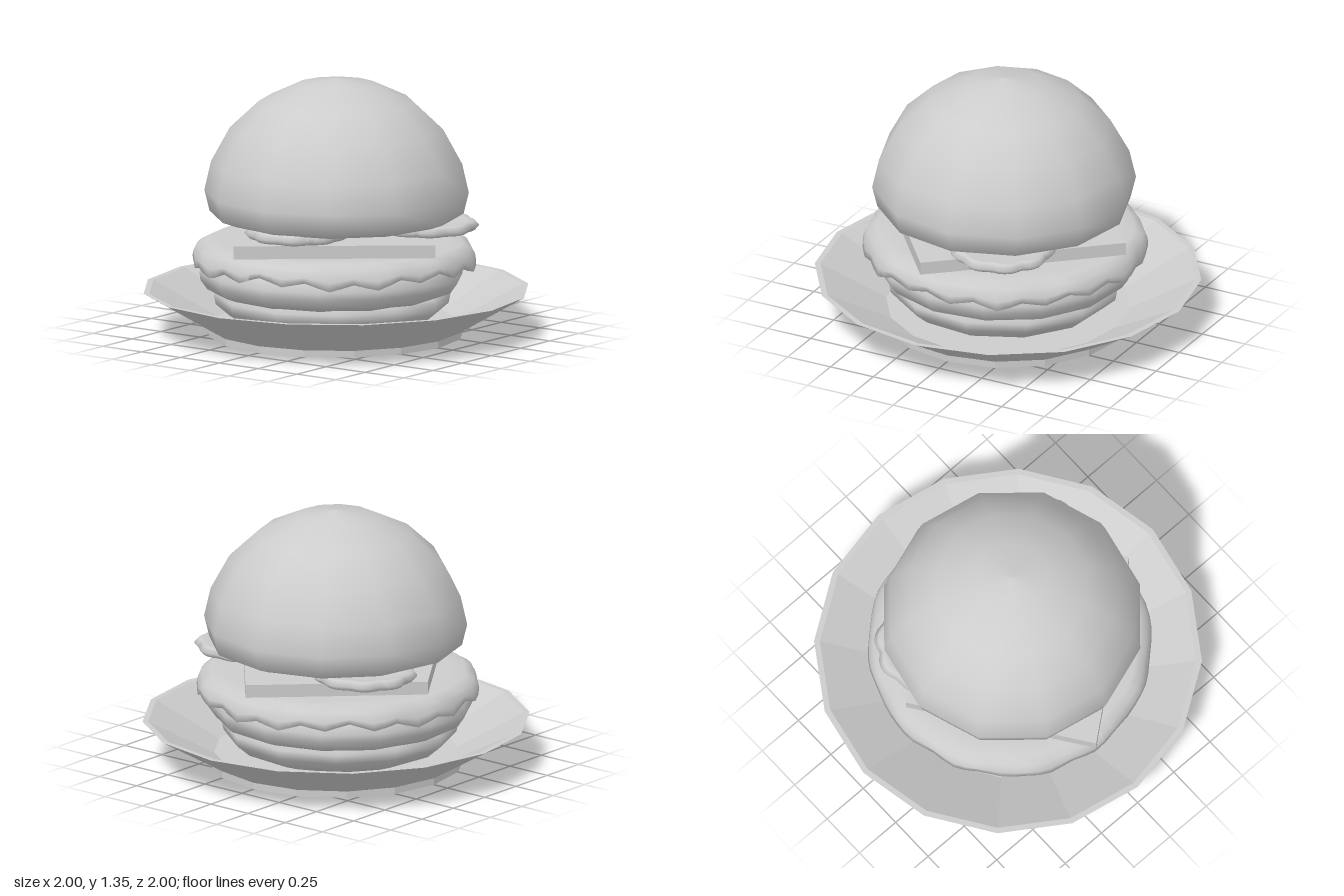
import * as THREE from 'three';

const clay = new THREE.MeshStandardMaterial({ color: 0xcccccc });
clay.name = 'light grey';

// Revolve a profile listed from the bottom axis, around the outside, to the top axis
function lathe(profile, sides) {
  return new THREE.LatheGeometry(profile.map(([r, y]) => new THREE.Vector2(r, y)), sides);
}

function flat(geometry) {
  const g = geometry.toNonIndexed();
  g.computeVertexNormals();
  return g;
}

// Move each vertex by a rule that gets its angle and radius
function reshape(geometry, rule) {
  const p = geometry.attributes.position;
  const v = new THREE.Vector3();
  for (let i = 0; i < p.count; i++) {
    v.fromBufferAttribute(p, i);
    rule(v, Math.atan2(v.x, v.z), Math.hypot(v.x, v.z));
    p.setXYZ(i, v.x, v.y, v.z);
  }
  geometry.computeVertexNormals();
  return geometry;
}

export function createModel() {
  const model = new THREE.Group();
  model.name = 'burgerOnPlate';

  function add(name, geometry, x = 0, y = 0, z = 0, turn = 0) {
    const mesh = new THREE.Mesh(geometry, clay);
    mesh.name = name;
    mesh.position.set(x, y, z);
    mesh.rotation.y = turn;
    model.add(mesh);
    return mesh;
  }

  // Faceted plate with a low foot and sloping rim
  add('plate', flat(lathe([
    [0, 0], [0.66, 0], [0.66, 0.035], [1, 0.235], [0.97, 0.235], [0.63, 0.06], [0, 0.06],
  ], 16)));

  // Lower bun resting in the plate
  add('bottomBun', lathe([
    [0, 0.06], [0.42, 0.06], [0.53, 0.1], [0.6, 0.16], [0.61, 0.21], [0.58, 0.24], [0, 0.24],
  ], 12), -0.01, 0, 0.02, 0.15);

  // Patty with a rounded side
  add('patty', lathe([
    [0, 0.225], [0.58, 0.225], [0.645, 0.25], [0.68, 0.3], [0.685, 0.34],
    [0.665, 0.4], [0.6, 0.43], [0, 0.43],
  ], 14), -0.015, 0, 0.02, 0.1);

  // Lettuce leaf: rounded top, thin skirt with a rippled hem
  const leaf = lathe([
    [0, 0.41], [0.64, 0.41], [0.7, 0.385], [0.73, 0.385], [0.725, 0.42],
    [0.705, 0.465], [0.66, 0.49], [0.58, 0.495], [0, 0.495],
  ], 72);
  reshape(leaf, (v, a, r) => {
    const hem = THREE.MathUtils.clamp((0.47 - v.y) / 0.08, 0, 1) * THREE.MathUtils.smoothstep(r, 0.6, 0.7);
    v.y += 0.018 * hem * Math.sin(a * 18) + 0.01 * hem * Math.sin(a * 5 + 1);
    const swell = 1 + 0.008 * Math.cos(a * 12 + 0.5);
    v.x *= swell;
    v.z *= swell;
  });
  add('lettuce', leaf, 0, 0, 0.015);

  // Cheese slice with its corners poking out
  const slice = new THREE.Shape([
    [-0.08, -0.77], [0.73, -0.12], [0.02, 0.7], [-0.66, 0.05],
  ].map(([x, y]) => new THREE.Vector2(x, y)));
  const cheese = new THREE.ExtrudeGeometry(slice, { depth: 0.068, bevelEnabled: false });
  cheese.rotateX(-Math.PI / 2);
  add('cheese', cheese, 0, 0.498, 0);

  // Pickle slices with scalloped, rounded edges
  const pickle = lathe([
    [0, -0.015], [0.19, -0.015], [0.21, -0.027], [0.245, -0.025], [0.268, 0],
    [0.245, 0.025], [0.21, 0.027], [0.19, 0.015], [0, 0.015],
  ], 48);
  reshape(pickle, (v, a, r) => {
    const k = 1 + (r > 0.18 ? 0.09 * (Math.abs(Math.sin(a * 4.5)) - 0.75) : 0);
    v.x *= k;
    v.z *= k;
  });
  [[-0.37, -0.21, 0], [0.43, -0.2, 0.4], [0.03, 0.37, 0.9]].forEach(([x, z, turn], i) =>
    add('pickle' + (i + 1), pickle, x, 0.591, z, turn));

  // Domed top bun, tucked in at the base
  add('topBun', lathe([
    [0, 0.612], [0.58, 0.612], [0.655, 0.64], [0.682, 0.75], [0.648, 0.9],
    [0.55, 1.08], [0.4, 1.22], [0.205, 1.312], [0, 1.345],
  ], 12), 0.015, 0, 0.015, 0.06);

  return model;
}
